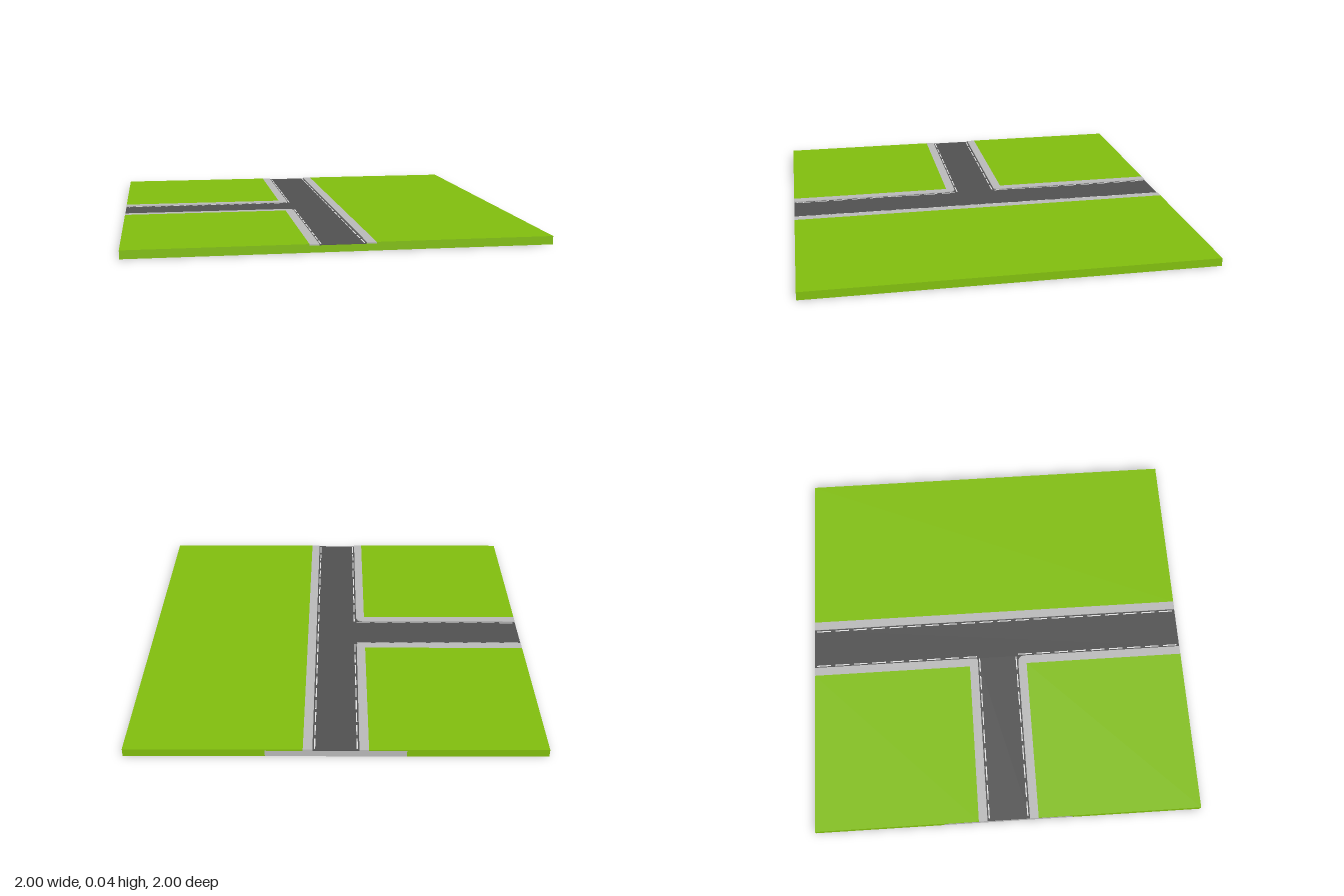
import * as THREE from 'three';

const material = (name, color) => Object.assign(new THREE.MeshStandardMaterial({ color }), { name });

export function createModel() {
  const grass = material('grass green', 0x83c10e);
  const pavement = material('pavement grey', 0xbdbdbd);
  const asphalt = material('asphalt grey', 0x525252);
  const paint = material('line white', 0xe4e4e4);
  const group = new THREE.Group();
  group.name = 'roadTile';

  const BASE = 0.033, ROAD = 0.035, TOP = 0.04;
  const T = 1 / 3;     // half width of the base under the road
  const KERB = 0.11;   // road edge
  const LAWN = 0.155;  // outer pavement edge

  function box(name, mat, x0, x1, z0, z1, y0, y1) {
    const mesh = new THREE.Mesh(new THREE.BoxGeometry(x1 - x0, y1 - y0, z1 - z0), mat);
    mesh.position.set((x0 + x1) / 2, (y0 + y1) / 2, (z0 + z1) / 2);
    mesh.name = name;
    group.add(mesh);
  }

  // Base: green blocks around a grey T; the front end of the T is green
  box('baseEast', grass, T, 1, -1, 1, 0, BASE);
  box('baseBackWest', grass, -1, -T, -1, -T, 0, BASE);
  box('baseFrontWest', grass, -1, -T, T, 1, 0, BASE);
  box('baseMain', [pavement, pavement, pavement, pavement, grass, pavement], -T, T, -1, 1, 0, BASE);
  box('baseBranch', pavement, -1, -T, -T, T, 0, BASE);

  // Road surface
  box('mainRoad', asphalt, -KERB, KERB, -1, 1, BASE, ROAD);
  box('branchRoad', asphalt, -1, -KERB, -KERB, KERB, BASE, ROAD);

  // Lawns
  box('lawnEast', grass, LAWN, 1, -1, 1, BASE, TOP);
  box('lawnBackWest', grass, -1, -LAWN, -1, -LAWN, BASE, TOP);
  box('lawnFrontWest', grass, -1, -LAWN, LAWN, 1, BASE, TOP);

  // Pavements: a straight one, and an L with a rounded kerb on each side of the branch
  box('pavementEast', pavement, KERB, LAWN, -1, 1, BASE, TOP);
  function cornerPavement(name, s, r) {
    const shape = new THREE.Shape();
    shape.moveTo(-1, s * KERB);
    shape.lineTo(-KERB - r, s * KERB);
    shape.quadraticCurveTo(-KERB, s * KERB, -KERB, s * (KERB + r));
    shape.lineTo(-KERB, s);
    shape.lineTo(-LAWN, s);
    shape.lineTo(-LAWN, s * LAWN);
    shape.lineTo(-1, s * LAWN);
    const geometry = new THREE.ExtrudeGeometry(shape, { depth: TOP - BASE, bevelEnabled: false, curveSegments: 6 });
    geometry.rotateX(Math.PI / 2).translate(0, TOP, 0);
    const mesh = new THREE.Mesh(geometry, pavement);
    mesh.name = name;
    group.add(mesh);
    // Asphalt filling the rounded corner
    box(name + 'Gutter', asphalt, -KERB - r, -KERB, s > 0 ? KERB : -KERB - r, s > 0 ? KERB + r : -KERB, BASE, ROAD);
  }
  cornerPavement('pavementBackWest', -1, 0.015);
  cornerPavement('pavementFrontWest', 1, 0.04);

  // Dashed edge lines
  const LINE = 0.1, HALF = 0.003, DASH = 0.075, STEP = 0.1;
  for (let i = 0; i < 20; i++) {
    const a = -1 + i * STEP + 0.0125, b = a + DASH;
    box('edgeDash', paint, LINE - HALF, LINE + HALF, a, b, ROAD, ROAD + 0.0008);
    if (b < -KERB || a > KERB) {
      box('edgeDash', paint, -LINE - HALF, -LINE + HALF, a, b, ROAD, ROAD + 0.0008);
    }
    if (b < -LINE + 0.02) {
      for (const s of [-1, 1]) {
        box('branchDash', paint, a, b, s * LINE - HALF, s * LINE + HALF, ROAD, ROAD + 0.0008);
      }
    }
  }
  return group;
}
